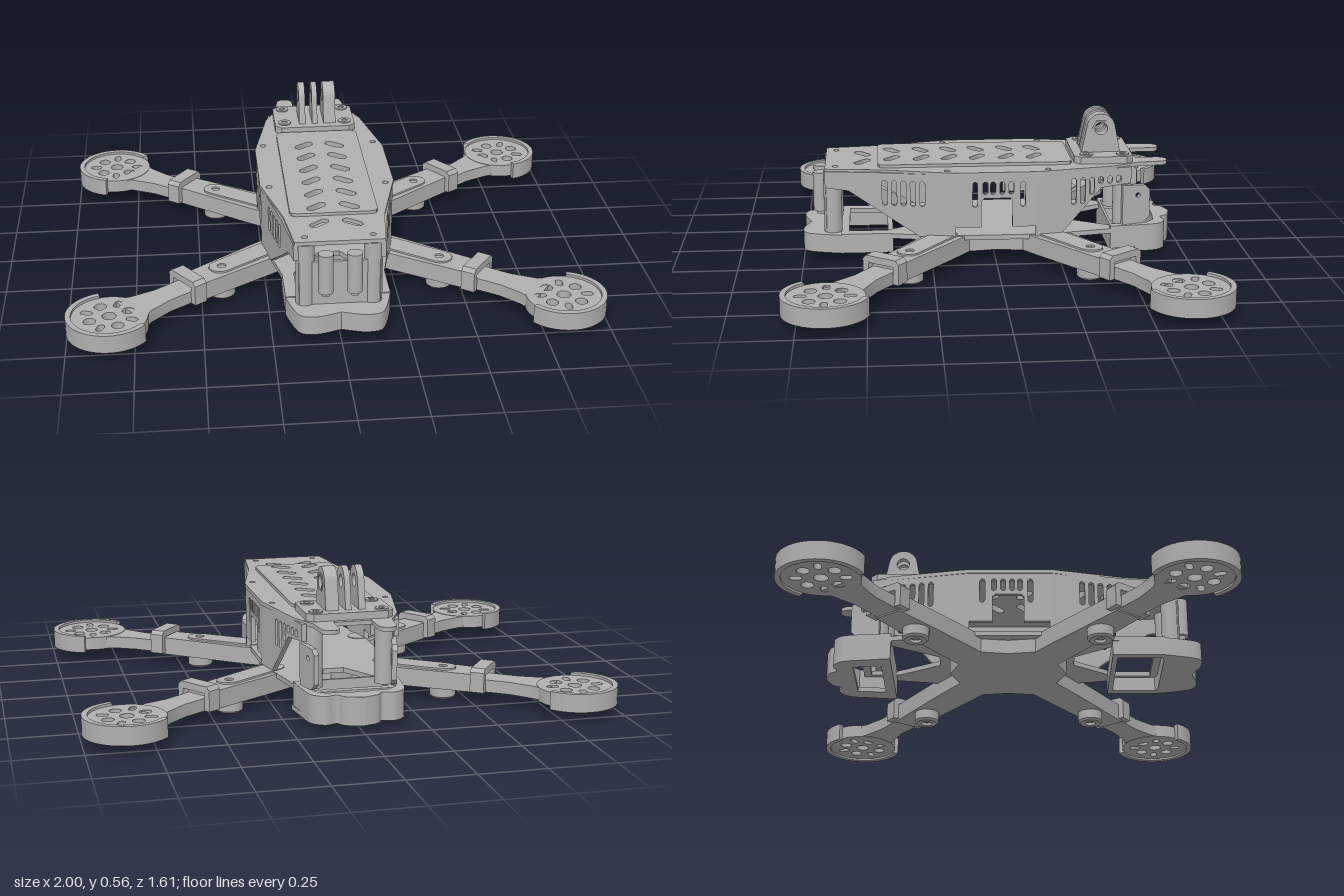
import * as THREE from 'three';
import { toCreasedNormals } from 'three/addons/utils/BufferGeometryUtils.js';

const grey = new THREE.MeshStandardMaterial({ color: 0xb0b0b0 });
grey.name = 'frame grey';

const circle = (cx, cy, r, n = 20) => Array.from({ length: n }, (_, i) => {
  const a = (i / n) * Math.PI * 2;
  return [cx + r * Math.cos(a), cy + r * Math.sin(a)];
});
// Rounded slot: centre, overall length, width, angle of its long axis
function slot(cx, cy, len, w, angle) {
  const h = (len - w) / 2, r = w / 2, c = Math.cos(angle), s = Math.sin(angle);
  return Array.from({ length: 14 }, (_, i) => {
    const a = -Math.PI / 2 + (i % 7) * Math.PI / 6 + (i > 6 ? Math.PI : 0);
    const x = (i > 6 ? -h : h) + r * Math.cos(a), y = r * Math.sin(a);
    return [cx + x * c - y * s, cy + x * s + y * c];
  });
}
const spline = (pts, n = 28) =>
  new THREE.SplineCurve(pts.map(p => new THREE.Vector2(...p))).getPoints(n).map(p => [p.x, p.y]);
// Complete a right-half outline with its reflection in x
const mirrored = half => [...half, ...half.filter(p => p[0] > 1e-4).reverse().map(([x, z]) => [-x, z])];

function extrude(points, holes, depth) {
  let v = points.map(p => new THREE.Vector2(...p));
  if (THREE.ShapeUtils.area(v) < 0) v.reverse();
  const shape = new THREE.Shape(v);
  shape.holes = holes.map(h => new THREE.Path(h.map(p => new THREE.Vector2(...p))));
  return new THREE.ExtrudeGeometry(shape, { depth, bevelEnabled: false });
}
function add(parent, name, geometry) {
  const mesh = new THREE.Mesh(toCreasedNormals(geometry, 0.6), grey);
  mesh.name = name;
  parent.add(mesh);
  return mesh;
}
// Horizontal plate from an [x, z] outline
function plate(parent, name, points, y0, y1, holes = []) {
  const flip = l => l.map(([x, z]) => [x, -z]);
  return add(parent, name, extrude(flip(points), holes.map(flip), y1 - y0)
    .rotateX(-Math.PI / 2).translate(0, y0, 0));
}
// Upright plate from a [z, y] outline, centred on x
function upright(parent, name, points, x, thick, holes = []) {
  const flip = l => l.map(([z, y]) => [-z, y]);
  return add(parent, name, extrude(flip(points), holes.map(flip), thick)
    .rotateY(Math.PI / 2).translate(x - thick / 2, 0, 0));
}
function post(parent, name, x, z, r, y0, y1, n = 24) {
  return add(parent, name, new THREE.CylinderGeometry(r, r, y1 - y0, n).translate(x, (y0 + y1) / 2, z));
}

// One arm pointing along +x
function createArm() {
  const arm = new THREE.Group();
  arm.name = 'arm';
  const motor = 1.038, pad = 0.519, clip = 0.68;
  const strip = pts => [...pts, ...pts.slice().reverse().map(([x, z]) => [x, -z])];
  plate(arm, 'innerArm', strip([[0.05, 0.072], [0.32, 0.07], [clip, 0.056]]), 0.045, 0.115);
  plate(arm, 'outerArm', strip([[0.64, 0.052], [0.8, 0.05], [0.9, 0.068], [0.96, 0.1]]), 0.05, 0.098);
  plate(arm, 'armCover', slot(0.4, 0, 0.34, 0.09, 0), 0.115, 0.122, [circle(pad, 0, 0.017)]);

  // Motor mount with bolt and vent holes
  const holes = [circle(motor, 0, 0.026)];
  for (let i = 0; i < 4; i++) {
    const a = i * Math.PI / 2 + 0.18, b = a + Math.PI / 4;
    holes.push(circle(motor + 0.077 * Math.cos(a), 0.077 * Math.sin(a), 0.023, 16));
    holes.push(slot(motor + 0.088 * Math.cos(b), 0.088 * Math.sin(b), 0.046, 0.026, b));
  }
  plate(arm, 'motorMount', circle(motor, 0, 0.142, 48), 0.048, 0.1, holes);
  // C-shaped guard, open toward the body
  const arc = (r, sign) => Array.from({ length: 33 }, (_, i) => {
    const a = sign * (-1.92 + 3.84 * i / 32);
    return [motor + r * Math.cos(a), r * Math.sin(a)];
  });
  plate(arm, 'motorGuard', [...arc(0.16, 1), ...arc(0.139, -1)], 0.04, 0.11);

  // Strap clip over the arm
  const arch = [[-0.08, 0.052], [-0.08, 0.13], [-0.066, 0.145], [0.066, 0.145], [0.08, 0.13], [0.08, 0.052],
    [0.055, 0.052], [0.055, 0.118], [-0.055, 0.118], [-0.055, 0.052]];
  upright(arm, 'strapClip', arch, clip, 0.055);

  // Landing foot
  const foot = [[0.022, 0.012], [0.022, 0], [0.042, 0], [0.05, 0.008], [0.05, 0.05], [0, 0.05]];
  add(arm, 'landingFoot', new THREE.LatheGeometry(foot.map(p => new THREE.Vector2(...p)), 28).translate(pad, 0, 0));
  post(arm, 'footBolt', pad, 0, 0.022, 0.012, 0.05, 6);
  return arm;
}

// Side wall, split where it bends in plan and sheared to follow the body
function createSide(sign) {
  const side = new THREE.Group();
  side.name = 'sideWall';
  const column = (z, y0, y1) => slot(z, (y0 + y1) / 2, y1 - y0, 0.02, Math.PI / 2);
  const panels = [
    { z: [0.66, 0.46], x: [0.16, 0.188], p: [[0.66, 0.365], [0.66, 0.3], [0.57, 0.29], [0.46, 0.218], [0.46, 0.365]], h: [] },
    { z: [0.46, 0.17], x: [0.188, 0.248], p: [[0.46, 0.365], [0.46, 0.218], [0.3, 0.115], [0.17, 0.115], [0.17, 0.365]],
      h: [0.43, 0.394, 0.358, 0.322, 0.286].map(z => column(z, 0.235, 0.335)) },
    { z: [0.17, -0.16], x: [0.248, 0.248],
      p: [[0.17, 0.365], [0.17, 0.115], [0.16, 0.115], [0.16, 0.155], [0.06, 0.155], [0.06, 0.26], [0.05, 0.27],
        [-0.05, 0.27], [-0.06, 0.26], [-0.06, 0.155], [-0.15, 0.155], [-0.15, 0.115], [-0.16, 0.115], [-0.16, 0.365]],
      h: [...[0.085, -0.1].map(z => column(z, 0.235, 0.335)), ...[0.045, 0.015, -0.02, -0.055].map(z => column(z, 0.285, 0.335))] },
    { z: [-0.16, -0.53], x: [0.248, 0.175],
      p: [[-0.16, 0.365], [-0.16, 0.115], [-0.25, 0.115], [-0.41, 0.29], [-0.53, 0.3], [-0.53, 0.365]],
      h: [-0.3, -0.336, -0.372, -0.408, -0.444, -0.48].map((z, i) => column(z, [0.235, 0.235, 0.27, 0.31, 0.31, 0.31][i] - 0.005, 0.335)) }
  ];
  for (const { z, x, p, h } of panels) {
    const g = upright(side, 'sidePanel', p, 0, 0.018, h).geometry;
    const pos = g.attributes.position;
    for (let i = 0; i < pos.count; i++) {
      const t = (pos.getZ(i) - z[0]) / (z[1] - z[0]);
      pos.setX(i, pos.getX(i) + sign * (x[0] + t * (x[1] - x[0])));
    }
    g.computeVertexNormals();
  }
  return side;
}

export function createModel() {
  const model = new THREE.Group();
  model.name = 'droneFrame';

  // Four arms meeting in a cross
  for (const sx of [1, -1]) for (const sz of [1, -1]) {
    const arm = createArm();
    arm.position.z = sz * 0.036;
    arm.rotation.y = Math.atan2(-sz * 0.609, sx * 0.84);
    model.add(arm);
  }
  plate(model, 'centrePlate', mirrored([[0, 0.23], [0.1, 0.19], [0.22, 0.14], [0.2, 0], [0.22, -0.14], [0.1, -0.19], [0, -0.23]]), 0.045, 0.108);

  // Lower deck with front and rear openings
  plate(model, 'lowerDeck',
    mirrored([[0.195, 0.6], [0.195, 0.43], [0.245, 0.2], [0.245, -0.2], [0.197, -0.45], [0.185, -0.58]]), 0.1, 0.119,
    [mirrored([[0.15, 0.57], [0.15, 0.42], [0.04, 0.26]]), mirrored([[0.14, -0.55], [0.14, -0.44], [0.04, -0.27]])]);

  // Wavy front and rear bumpers, open in the middle
  const frontTip = spline([[0.195, 0.6], [0.168, 0.7], [0.14, 0.742], [0.08, 0.748], [0, 0.722]]);
  plate(model, 'frontBumper', mirrored([[0.195, 0.4], ...frontTip]), 0.042, 0.115,
    [mirrored([[0.165, 0.42], [0.165, 0.59], [0.14, 0.6]])]);
  const rearTip = spline([[0.19, -0.56], [0.175, -0.64], [0.13, -0.675], [0.085, -0.665], [0.06, -0.695], [0, -0.715]]);
  plate(model, 'rearBumper', mirrored([[0.2, -0.45], ...rearTip]), 0.04, 0.13,
    [mirrored([[0.165, -0.46], [0.155, -0.6], [0.12, -0.63], [0.04, -0.64]])]);
  plate(model, 'rearSkid', mirrored([[0.205, -0.45], ...rearTip]), 0.022, 0.04,
    [mirrored([[0.13, -0.49], [0.12, -0.6]])]);

  for (const s of [1, -1]) {
    model.add(createSide(s));
    post(model, 'frontPost', s * 0.125, 0.632, 0.035, 0.11, 0.36);
    post(model, 'rearPost', s * 0.135, -0.5, 0.035, 0.119, 0.36);
    post(model, 'frontStud', s * 0.053, 0.682, 0.028, 0.18, 0.335);
    post(model, 'studPin', s * 0.053, 0.682, 0.015, 0.165, 0.18);
    // Rear camera bracket
    const bracket = upright(model, 'rearBracket',
      [[0.04, 0.12], [0.04, 0.29], [-0.055, 0.285], [-0.075, 0.265], [-0.075, 0.155], [-0.055, 0.135], [-0.02, 0.12]],
      0, 0.02, [circle(-0.025, 0.245, 0.01, 12)]);
    bracket.position.set(s * 0.165, 0, -0.535);
    bracket.rotation.y = s * 0.25;
  }
  add(model, 'frontPanel', new THREE.BoxGeometry(0.3, 0.175, 0.012).translate(0, 0.203, 0.652));

  // Top deck with slots, screw holes and two rear prongs
  const slots = [-0.16, -0.05, 0.065, 0.175, 0.285, 0.4, 0.515].flatMap(z =>
    [1, -1].map(s => slot(s * 0.062, z, 0.085, 0.034, s * 0.66)));
  const deckHoles = [[0.225, -0.2], [0.225, 0.19], [0.125, 0.62]].flatMap(([x, z]) =>
    [1, -1].map(s => circle(s * x, z, 0.012, 12)));
  const prong = Array.from({ length: 9 }, (_, i) =>
    [0.106 + 0.034 * Math.cos(i * Math.PI / 8), -0.648 - 0.034 * Math.sin(i * Math.PI / 8)]);
  plate(model, 'topDeck', mirrored([[0.165, 0.66], [0.19, 0.45], [0.26, 0.17], [0.26, -0.16], [0.198, -0.46],
    [0.15, -0.56], ...prong, [0.072, -0.56]]), 0.358, 0.374, [...slots, ...deckHoles]);
  plate(model, 'topPanel', mirrored([[0.14, 0.455], [0.158, 0.448], [0.165, 0.43], [0.165, -0.275], [0.158, -0.293], [0.14, -0.3]]),
    0.374, 0.386, slots.slice(0, 12));

  // Mount base with four screws
  plate(model, 'mountBase', mirrored([[0.14, -0.31], [0.165, -0.335], [0.165, -0.515], [0.14, -0.54]]), 0.374, 0.402);
  for (const x of [-0.125, 0.125]) for (const z of [-0.36, -0.503]) {
    plate(model, 'mountScrew', circle(x, z, 0.026), 0.402, 0.407, [circle(x, z, 0.013, 6)]);
  }

  // Three mount fins with a hinge hole
  const top = Array.from({ length: 17 }, (_, i) => {
    const a = 0.12 + (Math.PI - 0.24) * i / 16;
    return [-0.422 + 0.056 * Math.cos(a), 0.499 + 0.056 * Math.sin(a)];
  });
  const fin = [[-0.345, 0.4], ...top, [-0.499, 0.4]];
  for (const [x, w] of [[-0.052, 0.026], [0, 0.022], [0.061, 0.05]]) {
    upright(model, 'mountFin', fin, x, w, [circle(-0.422, 0.497, 0.025)]);
  }
  // Hexagonal nut recess on the wide fin
  upright(model, 'hingeNut', circle(-0.422, 0.497, 0.036, 6), 0.087, 0.006, [circle(-0.422, 0.497, 0.025)]);
  return model;
}
